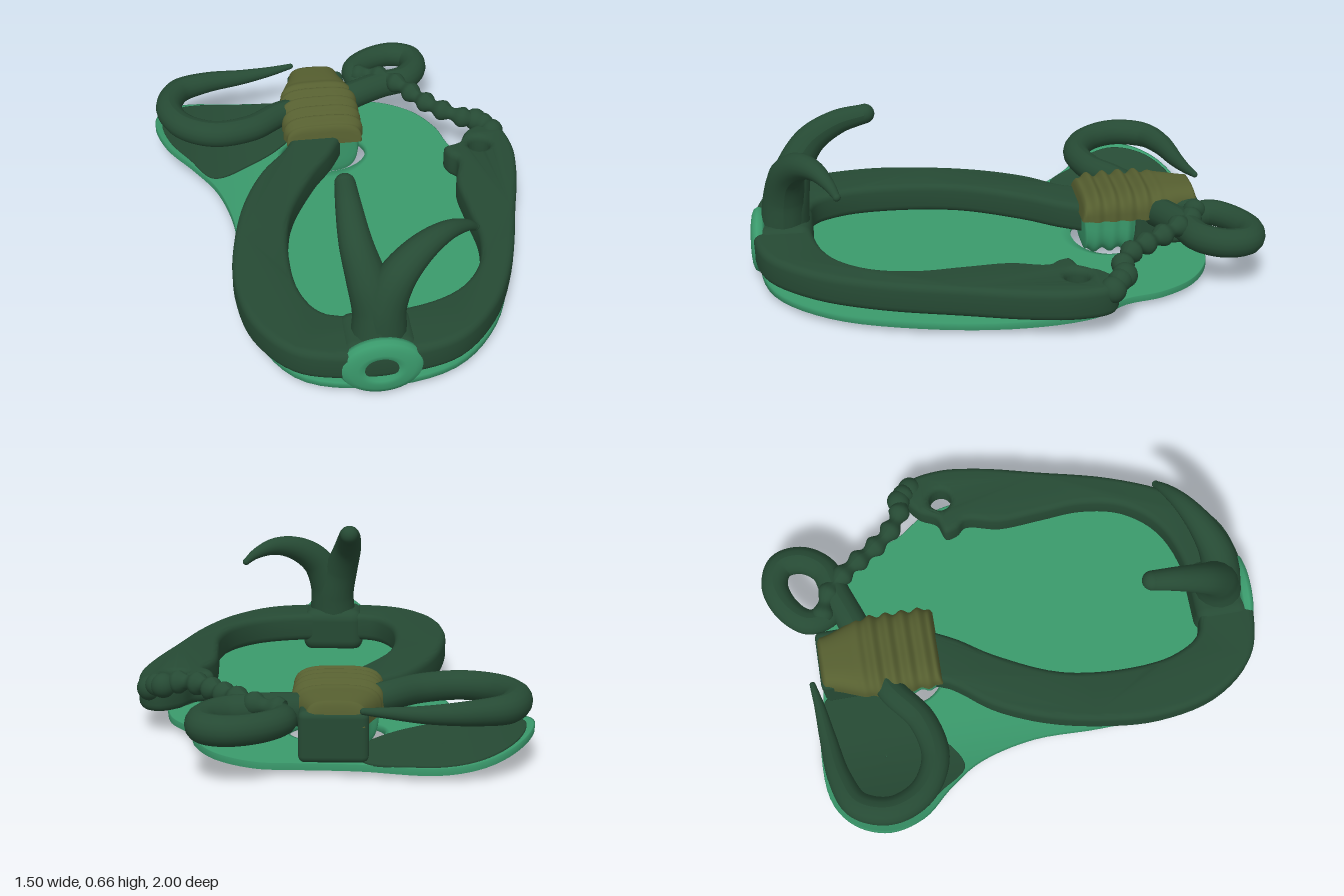
import * as THREE from 'three';
import { mergeVertices, toCreasedNormals } from 'three/addons/utils/BufferGeometryUtils.js';
import { RoundedBoxGeometry } from 'three/addons/geometries/RoundedBoxGeometry.js';

const V = (x, y, z) => new THREE.Vector3(x, y, z);
const curve = (pts, closed = false) =>
  new THREE.CatmullRomCurve3(pts.map((p) => V(...p)), closed, 'centripetal');
const outline = (pts, n) => curve(pts.map(([x, z]) => [x, 0, z]), true).getPoints(n);

// Smooth surface from a rule f(u, v) sampled on a grid
function surface(nu, nv, f) {
  const pos = [], idx = [];
  for (let j = 0; j <= nv; j++) for (let i = 0; i <= nu; i++) pos.push(...f(i / nu, j / nv, i, j));
  for (let j = 0; j < nv; j++) for (let i = 0; i < nu; i++) {
    const a = j * (nu + 1) + i, b = a + nu + 1;
    idx.push(a, a + 1, b, b, a + 1, b + 1);
  }
  let g = new THREE.BufferGeometry();
  g.setAttribute('position', new THREE.Float32BufferAttribute(pos, 3));
  g.setIndex(idx);
  g = mergeVertices(g, 1e-5);
  g.computeVertexNormals();
  return g;
}

// Round sweep whose radius follows a rule along the path
function sweep(pts, radius, seg = 80) {
  const path = curve(pts), g = new THREE.TubeGeometry(path, seg, 1, 16, false);
  const p = g.attributes.position, v = V(0, 0, 0);
  for (let i = 0; i < p.count; i++) {
    const t = Math.floor(i / 17) / seg, c = path.getPointAt(t);
    v.fromBufferAttribute(p, i).sub(c).multiplyScalar(radius(t)).add(c);
    p.setXYZ(i, v.x, v.y, v.z);
  }
  g.computeVertexNormals();
  return g;
}

// The leaf curls up towards its -x side
const curl = (x) => (x < -0.35 ? 0.1 * ((-0.35 - x) / 0.4) ** 2 : 0);

// Thin curled sheet between an oval hole and an outline
function sheet(pts, [cx, cz], [rx, rz], bottom, top) {
  const rim = outline(pts, 120);
  const ts = [0, 0.03, 0.1, 0.2, 0.3, 0.4, 0.5, 0.6, 0.7, 0.8, 0.9, 0.96, 0.99, 1];
  const rows = [...ts.map((t) => [t, 1]), ...ts.slice().reverse().map((t) => [t, 0]), [0, 1]];
  return surface(120, rows.length - 1, (u, v, i, j) => {
    const o = rim[i % 120], [t, side] = rows[j];
    const a = Math.atan2(o.z - cz, o.x - cx);
    const hx = cx + rx * Math.cos(a), hz = cz + rz * Math.sin(a);
    const x = hx + (o.x - hx) * t, z = hz + (o.z - hz) * t;
    return [x, (side ? top : bottom) + curl(x), z];
  });
}

// Half of a ribbed binding: up = 1 for the top, -1 for the underside
function binding(up, z0, z1, height, width, ribs) {
  return surface(28, 72, (u, v) => {
    const a = Math.PI * u, z = z0 + (z1 - z0) * v;
    const end = Math.min(1, Math.sqrt(Math.min(v, 1 - v) / 0.04));
    const rib = ribs(z) * 0.012 * Math.sin(z * 95);
    const sq = (c) => Math.sign(c) * Math.abs(c) ** 0.6;
    return [-0.035 + sq(Math.cos(a)) * (width(z) + rib * 0.5) * (0.9 + 0.1 * end),
      0.19 + up * sq(Math.max(0, Math.sin(a))) * (height(z) + rib) * end, z];
  });
}

export function createModel() {
  const root = new THREE.Group();
  const paint = (name, color) => {
    const m = new THREE.MeshStandardMaterial({ color, side: THREE.DoubleSide });
    m.name = name;
    return m;
  };
  const dark = paint('dark green', 0x264a34);
  const light = paint('leaf green', 0x3a9a6c);
  const olive = paint('olive', 0x565f30);
  const add = (name, geo, mat) => {
    const m = new THREE.Mesh(geo, mat);
    m.name = name;
    root.add(m);
    return m;
  };
  const ball = (name, r, x, y, z) =>
    add(name, new THREE.SphereGeometry(r, 20, 14), dark).position.set(x, y, z);

  // Leaf-shaped base with a slot for the binding
  add('basePlate', sheet([
    [-0.75, -0.62], [-0.7, -0.75], [-0.58, -0.84], [-0.35, -0.86], [-0.12, -0.82], [0.1, -0.81],
    [0.25, -0.8], [0.4, -0.71], [0.49, -0.57], [0.53, -0.42], [0.62, -0.28], [0.66, 0], [0.62, 0.35],
    [0.5, 0.7], [0.3, 0.91], [0, 0.97], [-0.27, 0.9], [-0.42, 0.65], [-0.45, 0.3], [-0.45, 0],
    [-0.51, -0.23], [-0.6, -0.36], [-0.71, -0.48],
  ], [-0.03, -0.44], [0.185, 0.14], 0.033, 0.058), light);

  // Dark skin over the curled lobe
  add('lobeSkin', sheet([
    [-0.72, -0.62], [-0.67, -0.75], [-0.55, -0.83], [-0.32, -0.845], [-0.14, -0.81], [-0.13, -0.62],
    [-0.23, -0.48], [-0.36, -0.38], [-0.52, -0.29], [-0.61, -0.4], [-0.69, -0.5],
  ], [-0.42, -0.6], [0.001, 0.001], 0.056, 0.065), dark);

  // Open flat loop with an eyelet at its free end
  const shape = new THREE.Shape(outline([
    [-0.12, -0.5], [-0.2, -0.3], [-0.32, -0.14], [-0.41, 0.06], [-0.465, 0.3], [-0.48, 0.52],
    [-0.43, 0.76], [-0.3, 0.93], [-0.14, 0.985], [0.14, 0.985], [0.32, 0.93], [0.48, 0.76],
    [0.59, 0.52], [0.67, 0.22], [0.73, -0.02], [0.75, -0.2], [0.72, -0.33], [0.65, -0.36],
    [0.57, -0.31], [0.53, -0.24], [0.46, -0.21], [0.47, -0.16], [0.5, -0.12], [0.47, 0.02],
    [0.48, 0.2], [0.49, 0.38], [0.45, 0.55], [0.34, 0.68], [0.15, 0.75], [-0.15, 0.75],
    [-0.23, 0.64], [-0.26, 0.45], [-0.23, 0.16], [-0.11, -0.1], [0.0, -0.27], [0.08, -0.5],
  ], 180).slice(0, -1).map((p) => new THREE.Vector2(p.x, -p.z)));
  shape.holes.push(new THREE.Path().absarc(0.61, 0.21, 0.045, 0, Math.PI * 2, true));
  const loop = new THREE.ExtrudeGeometry(shape, {
    depth: 0.065, bevelThickness: 0.028, bevelSize: 0.025, bevelOffset: -0.025, bevelSegments: 4, curveSegments: 24,
  });
  loop.rotateX(-Math.PI / 2).translate(0, 0.126, 0);
  add('loopFrame', toCreasedNormals(loop, 0.7), dark);

  // Collar and round cap at the front
  add('hornCollar', new RoundedBoxGeometry(0.27, 0.19, 0.22, 4, 0.05), dark).position.set(0.015, 0.14, 0.865);
  const cap = new THREE.LatheGeometry([
    [0, -0.05], [0.13, -0.05], [0.15, -0.04], [0.155, -0.02], [0.145, -0.005], [0.12, 0.003], [0.09, 0.007],
    [0.07, 0.006], [0.055, -0.004], [0.035, -0.007], [0, -0.007],
  ].map((p) => new THREE.Vector2(...p)), 48);
  cap.rotateX(Math.PI / 2).scale(1, 0.79, 1);
  add('frontCap', cap, light).position.set(0.015, 0.143, 0.992);

  // Forked horn
  add('hornTall', sweep([[0.015, 0.17, 0.87], [0.01, 0.3, 0.85], [-0.02, 0.42, 0.82], [-0.05, 0.53, 0.75],
    [-0.06, 0.6, 0.64], [-0.06, 0.63, 0.53]], (t) => 0.107 - 0.068 * t ** 0.8), dark);
  ball('hornTallTip', 0.039, -0.06, 0.63, 0.53);
  add('hornShort', sweep([[0.03, 0.2, 0.87], [0.04, 0.34, 0.86], [0.09, 0.45, 0.84], [0.18, 0.52, 0.79],
    [0.28, 0.54, 0.73], [0.36, 0.515, 0.68], [0.4, 0.485, 0.655]], (t) => 0.09 - 0.076 * t ** 1.4), dark);
  ball('hornShortTip', 0.015, 0.4, 0.485, 0.655);

  // Binding: olive top, green underside, dark core
  const taper = (z) => 0.165 - 0.055 * THREE.MathUtils.smoothstep(-z, 0.6, 0.8);
  const ribZone = (z) => 1 - THREE.MathUtils.smoothstep(-z, 0.58, 0.68);
  add('bindingTop', binding(1, -0.32, -0.81, (z) => 0.09 + 0.015 * Math.sin((-z - 0.32) * 6.4), taper, ribZone), olive);
  add('bindingUnderside', binding(-1, -0.33, -0.64, () => 0.17,
    (z) => 0.15 - 0.04 * THREE.MathUtils.smoothstep(-z, 0.5, 0.58), () => 0.7), light);
  add('bindingCore', new RoundedBoxGeometry(0.25, 0.19, 0.27, 3, 0.025), dark).position.set(-0.025, 0.15, -0.675);

  // Curved hook on the -x side
  add('sideHook', sweep([[-0.08, 0.2, -0.58], [-0.2, 0.22, -0.53], [-0.34, 0.225, -0.43], [-0.5, 0.23, -0.4],
    [-0.63, 0.235, -0.47], [-0.685, 0.24, -0.6], [-0.64, 0.24, -0.73], [-0.52, 0.24, -0.785],
    [-0.35, 0.24, -0.81], [-0.22, 0.25, -0.825], [-0.13, 0.26, -0.84]],
  (t) => (t < 0.6 ? 0.056 : 0.056 - 0.044 * ((t - 0.6) / 0.4) ** 1.3), 110), dark);
  ball('sideHookTip', 0.012, -0.13, 0.26, -0.84);

  // Ring at the back
  add('backRing', sweep([[0.04, 0.19, -0.62], [0.14, 0.21, -0.655], [0.26, 0.22, -0.7], [0.37, 0.22, -0.735],
    [0.43, 0.22, -0.82], [0.42, 0.22, -0.91], [0.34, 0.22, -0.945], [0.23, 0.22, -0.91], [0.155, 0.22, -0.83],
    [0.17, 0.21, -0.75], [0.24, 0.2, -0.69]], (t) => 0.062 - 0.012 * t, 110), dark);

  // Knotted cord from the ring to the eyelet
  add('cord', sweep([[0.15, 0.24, -0.77], [0.25, 0.25, -0.73], [0.34, 0.25, -0.64], [0.41, 0.24, -0.54],
    [0.48, 0.24, -0.45], [0.57, 0.23, -0.39], [0.66, 0.21, -0.36], [0.7, 0.18, -0.32]],
  (t) => 0.036 + 0.009 * Math.sin(t * 50), 120), dark);
  ball('cordKnot', 0.048, 0.63, 0.215, -0.385);
  ball('cordEnd', 0.05, 0.69, 0.19, -0.33);

  return root;
}
